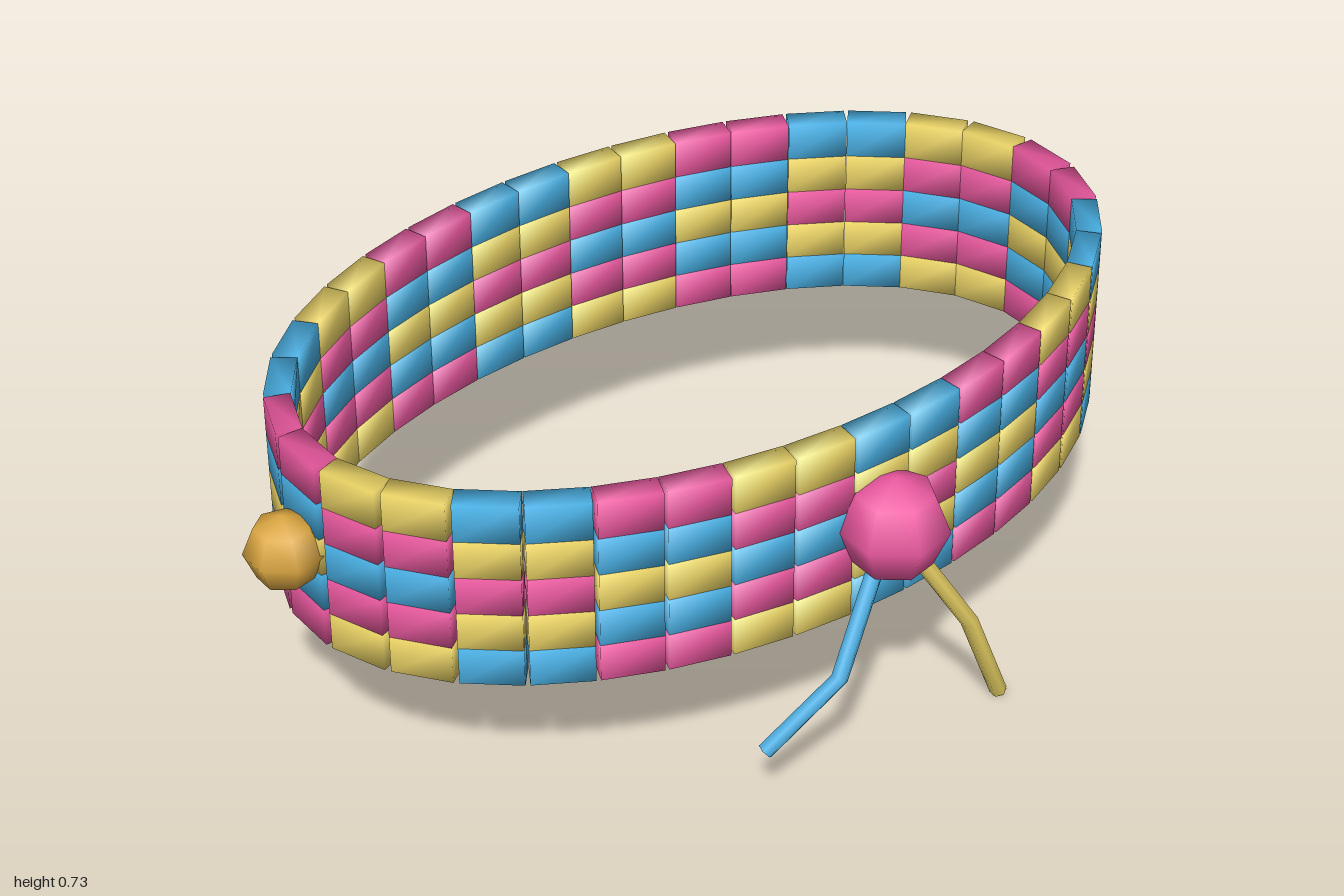
import * as THREE from 'three';
import { mergeVertices } from 'three/addons/utils/BufferGeometryUtils.js';

const BLUE = 0x4ab3e8, YELLOW = 0xf0d868, PINK = 0xee5aa2, GOLD = 0xdda842;
const CX = -0.01, MID_Y = 0.533;
const material = (color, side = THREE.FrontSide) => new THREE.MeshStandardMaterial({ color, side });

function add(parent, name, geometry, mat, x = 0, y = 0, z = 0) {
  const mesh = new THREE.Mesh(geometry, mat);
  mesh.name = name;
  mesh.position.set(x, y, z);
  parent.add(mesh);
  return mesh;
}

// Block bead whose corners share normals, for a soft pillow shading
function beadGeometry(length, height, depth) {
  const box = new THREE.BoxGeometry(length, height, depth);
  box.deleteAttribute('normal');
  box.deleteAttribute('uv');
  const soft = mergeVertices(box);
  soft.computeVertexNormals();
  return soft;
}

// Seven-sided ball with one corner pointing to the back
function ballGeometry(radius) {
  return new THREE.SphereGeometry(radius, 7, 4).rotateY(-Math.PI / 2);
}

// Polyline with a sharp elbow, one tube ring per point
class BentPath extends THREE.Curve {
  constructor(points) {
    super();
    this.points = points;
  }
  getUtoTmapping(u) { return u; }
  getPoint(t, target = new THREE.Vector3()) {
    const n = this.points.length - 1;
    const i = Math.min(Math.floor(t * n), n - 1);
    return target.lerpVectors(this.points[i], this.points[i + 1], t * n - i);
  }
}

export function createModel() {
  const model = new THREE.Group();
  model.name = 'beadedBracelet';

  // Woven band: five rows of 36 beads, evenly spaced round an ellipse
  const band = new THREE.Group();
  band.name = 'band';
  model.add(band);
  const COUNT = 36, ROWS = 5, PITCH = 0.0785;
  const oval = new THREE.EllipseCurve(CX, 0, 0.535, 0.862, 0, Math.PI * 2);
  oval.arcLengthDivisions = 1440;
  const bead = beadGeometry(0.119, 0.0785, 0.05);
  const colors = [BLUE, YELLOW, PINK].map((c) => material(c));
  for (let i = 0; i < COUNT; i++) {
    const p = oval.getPointAt(i / COUNT), t = oval.getTangentAt(i / COUNT);
    for (let row = 0; row < ROWS; row++) {
      // Colours run in pairs and step in a chevron from the edges to the middle row
      const shift = 2 - Math.abs(row - 2);
      const color = colors[(Math.floor((i + 1) / 2) + shift) % 3];
      const mesh = add(band, 'bandBead', bead, color, p.x, MID_Y + (row - 2) * PITCH, p.y);
      mesh.rotation.y = Math.atan2(-t.y, t.x);
    }
  }

  // Gold accent balls at the front, back and right
  const accent = ballGeometry(0.076), gold = material(GOLD);
  for (const [x, z] of [[CX, 0.925], [CX, -0.925], [-0.616, 0]])
    add(model, 'accentBall', accent, gold, x, MID_Y, z);

  // Clasp ball with two loose bent strands
  add(model, 'claspBall', ballGeometry(0.106), material(PINK), 0.585, MID_Y, 0);
  const strands = [
    [BLUE, 1, 0.28, 0.14],
    [YELLOW, -1, 0.27, 0.012],
  ];
  for (const [color, side, elbowY, endY] of strands) {
    const path = new BentPath([
      new THREE.Vector3(0.575, MID_Y, 0),
      new THREE.Vector3(0.63, elbowY, 0.155 * side),
      new THREE.Vector3(0.58, endY, 0.285 * side),
    ]);
    const mat = material(color, THREE.DoubleSide);
    add(model, 'strand', new THREE.TubeGeometry(path, 2, 0.017, 6), mat);
    // Cap on the loose end
    const cap = add(model, 'strandEnd', new THREE.CircleGeometry(0.017, 6), mat, ...path.getPoint(1).toArray());
    cap.quaternion.setFromUnitVectors(new THREE.Vector3(0, 0, 1), path.getTangent(1));
  }
  return model;
}
